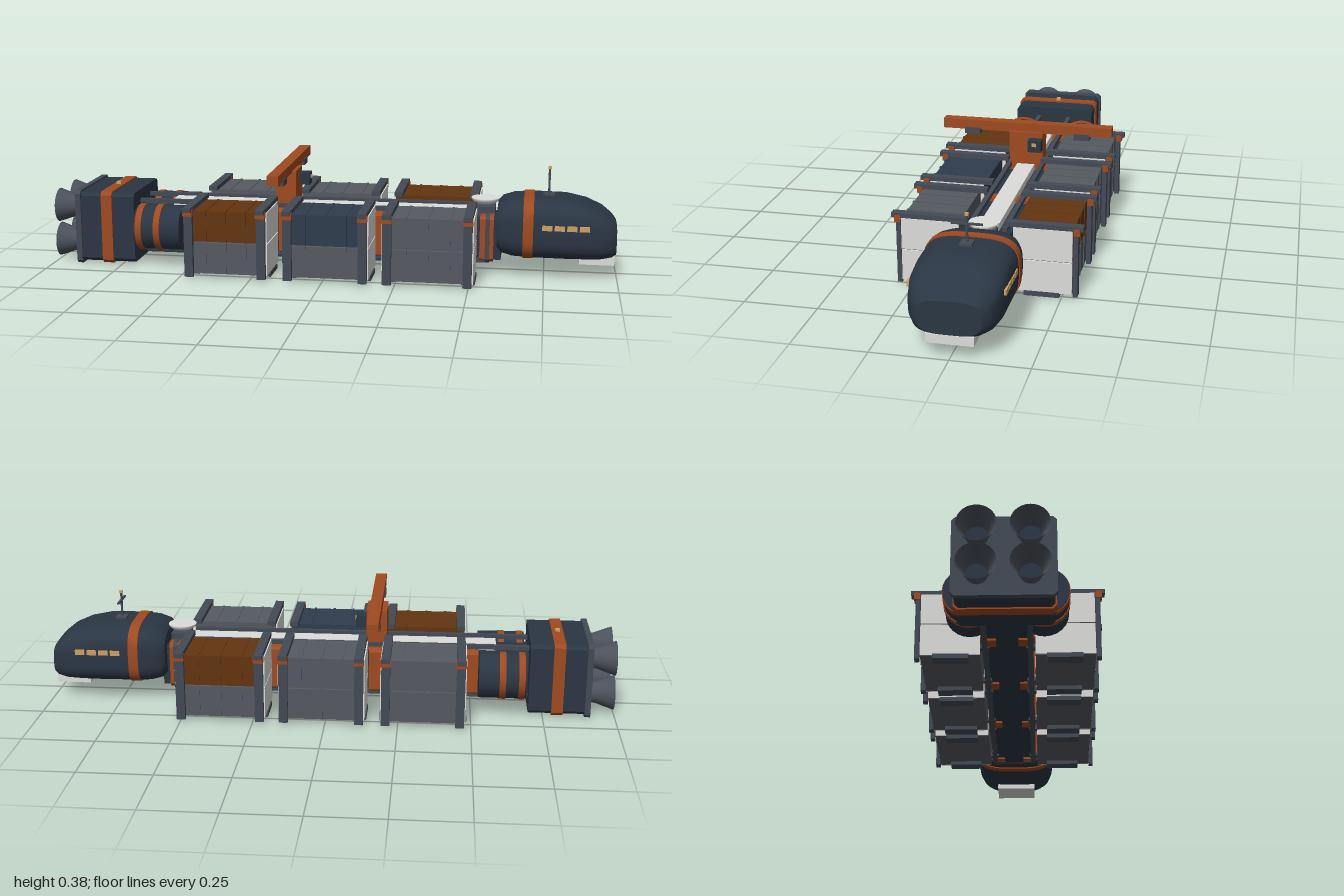
import * as THREE from 'three';

const mat = (name, color, side = THREE.FrontSide) => {
  const m = new THREE.MeshStandardMaterial({ color, side });
  m.name = name;
  return m;
};

export function createModel() {
  const navy = mat('navy hull', 0x2b3644);
  const steel = mat('steel frame', 0x434a55);
  const grey = mat('grey cargo', 0x555a61);
  const blue = mat('blue cargo', 0x303c4e);
  const brown = mat('brown cargo', 0x633510);
  const orange = mat('orange trim', 0xa04a20);
  const white = mat('white panel', 0xdcdcda);
  const amber = mat('amber glass', 0xd0a060);
  const nozzleGrey = mat('nozzle grey', 0x4c525b, THREE.DoubleSide);

  const ship = new THREE.Group();
  ship.name = 'cargoShip';

  const add = (name, geometry, material, x = 0, y = 0, z = 0, parent = ship) => {
    const m = new THREE.Mesh(geometry, material);
    m.name = name;
    m.position.set(x, y, z);
    parent.add(m);
    return m;
  };
  // Box given by its limits on each axis
  const box = (name, material, x0, x1, y0, y1, z0, z1, parent = ship) =>
    add(name, new THREE.BoxGeometry(x1 - x0, y1 - y0, Math.abs(z1 - z0)), material,
      (x0 + x1) / 2, (y0 + y1) / 2, (z0 + z1) / 2, parent);
  // Cylinder lying along x; r0 is the rear radius, r1 the front radius
  const tube = (name, material, x0, x1, r0, r1, y, z, open = false) => {
    const g = new THREE.CylinderGeometry(r1, r0, x1 - x0, 24, 1, open).rotateZ(-Math.PI / 2);
    return add(name, g, material, (x0 + x1) / 2, y, z);
  };
  // Block along x with bevelled corners in its cross-section
  const bevelBlock = (name, material, x0, x1, y0, y1, hz, c) => {
    const s = new THREE.Shape();
    [[-hz + c, y0], [hz - c, y0], [hz, y0 + c], [hz, y1 - c],
      [hz - c, y1], [-hz + c, y1], [-hz, y1 - c], [-hz, y0 + c]]
      .forEach(([a, b], i) => (i ? s.lineTo(a, b) : s.moveTo(a, b)));
    const g = new THREE.ExtrudeGeometry(s, { depth: x1 - x0, bevelEnabled: false }).rotateY(Math.PI / 2);
    return add(name, g, material, x0);
  };

  // Smooth loft through rounded sections [x, half width, bottom, top]
  const loft = (sections, grow = 0) => {
    const n = 48, pos = [], idx = [];
    const ring = ([x, hz, y0, y1]) => {
      const start = pos.length / 3;
      for (let j = 0; j <= n; j++) {
        const t = (j / n) * Math.PI * 2, c = Math.cos(t), s = Math.sin(t);
        const p = (v) => Math.sign(v) * Math.pow(Math.abs(v), 0.6);
        pos.push(x, (y0 + y1) / 2 + ((y1 - y0) / 2 + grow) * p(s), (hz + grow) * p(c));
      }
      return start;
    };
    const rings = sections.map(ring);
    for (let i = 0; i + 1 < rings.length; i++) {
      for (let j = 0; j < n; j++) {
        const a = rings[i] + j, b = rings[i + 1] + j;
        idx.push(a, b, a + 1, b, b + 1, a + 1);
      }
    }
    // End caps with their own vertices
    [sections[0], sections[sections.length - 1]].forEach((s, end) => {
      const r = ring(s), c = pos.length / 3;
      pos.push(s[0], (s[2] + s[3]) / 2, 0);
      for (let j = 0; j < n; j++) idx.push(c, end ? r + j + 1 : r + j, end ? r + j : r + j + 1);
    });
    const g = new THREE.BufferGeometry();
    g.setAttribute('position', new THREE.Float32BufferAttribute(pos, 3));
    g.setIndex(idx);
    g.computeVertexNormals();
    return g;
  };

  // Command module
  add('commandHull', loft([
    [0.585, 0.118, 0.098, 0.245], [0.6, 0.135, 0.08, 0.262], [0.64, 0.149, 0.07, 0.274],
    [0.7, 0.151, 0.067, 0.279], [0.82, 0.151, 0.066, 0.277], [0.89, 0.149, 0.067, 0.262],
    [0.945, 0.138, 0.069, 0.238], [0.98, 0.118, 0.075, 0.21], [0.994, 0.1, 0.083, 0.192],
  ]), navy);
  add('hullBand', loft([[0.675, 0.1505, 0.067, 0.278], [0.71, 0.151, 0.067, 0.279]], 0.003), orange);
  box('chinPlate', white, 0.87, 0.99, 0.05, 0.08, -0.075, 0.075);
  for (const s of [-1, 1])
    for (let i = 0; i < 4; i++)
      box('cabinWindow', amber, 0.74 + i * 0.042, 0.774 + i * 0.042, 0.183, 0.201, s * 0.146, s * 0.154);

  // Antenna mast
  box('antennaBase', steel, 0.74, 0.78, 0.272, 0.285, -0.02, 0.02);
  add('antennaMast', new THREE.CylinderGeometry(0.004, 0.004, 0.095, 10), steel, 0.76, 0.327);
  box('antennaCrossbar', steel, 0.756, 0.764, 0.341, 0.347, -0.05, 0.05);
  box('antennaTip', amber, 0.754, 0.766, 0.371, 0.379, -0.006, 0.006);

  // Spine with rails and collars
  box('spine', navy, -0.7, 0.6, 0.055, 0.2, -0.075, 0.075);
  box('spineKeel', navy, -0.69, 0.5, 0.025, 0.055, -0.035, 0.035);
  box('walkway', white, -0.585, 0.5, 0.2, 0.225, -0.032, 0.032);
  for (const s of [-1, 1]) {
    box('topRail', steel, -0.7, 0.5, 0.215, 0.23, s * 0.052, s * 0.068);
    box('lowerRail', steel, -0.7, 0.55, 0.045, 0.06, s * 0.065, s * 0.083);
  }
  for (const x of [-0.5, -0.163, 0.183, 0.55])
    bevelBlock('spineCollar', orange, x - 0.024, x + 0.024, 0.048, 0.212, 0.088, 0.012);
  bevelBlock('neckRing', steel, 0.545, 0.56, 0.045, 0.215, 0.092, 0.012);
  box('dishMount', steel, 0.51, 0.575, 0.2, 0.235, -0.04, 0.04);
  const dish = add('dish', new THREE.SphereGeometry(0.05, 24, 8, 0, Math.PI * 2, Math.PI / 2, Math.PI / 2),
    white, 0.54, 0.262, 0);
  dish.scale.y = 0.5;
  add('dishFace', new THREE.CircleGeometry(0.05, 24).rotateX(-Math.PI / 2), white, 0.54, 0.262, 0);

  // Fuel tanks beside the neck
  for (const s of [-1, 1]) {
    tube('fuelTank', navy, -0.69, -0.525, 0.08, 0.08, 0.14, s * 0.119);
    for (const x of [-0.673, -0.607])
      tube('tankBand', orange, x - 0.011, x + 0.011, 0.083, 0.083, 0.14, s * 0.119);
  }

  // Engine block and four nozzles
  bevelBlock('engineBlock', navy, -0.9, -0.7, 0.012, 0.263, 0.152, 0.012);
  bevelBlock('engineBackPlate', steel, -0.915, -0.895, 0.003, 0.27, 0.159, 0.012);
  bevelBlock('engineBand', orange, -0.82, -0.78, 0.007, 0.268, 0.157, 0.012);
  box('engineBeacon', amber, -0.808, -0.792, 0.266, 0.277, -0.008, 0.008);
  const bell = [[0.033, 0], [0.039, 0.025], [0.05, 0.055], [0.061, 0.087]].map((p) => new THREE.Vector2(...p));
  for (const y of [0.073, 0.2])
    for (const z of [-0.08, 0.08]) {
      add('nozzle', new THREE.LatheGeometry(bell, 28).rotateZ(Math.PI / 2), nozzleGrey, -0.912, y, z);
      add('nozzleThroat', new THREE.CircleGeometry(0.034, 24).rotateY(-Math.PI / 2), navy, -0.918, y, z);
    }

  // Cargo bays: two stacked containers in a pair of frames, three bays a side
  const cargo = { 1: [brown, blue, grey], '-1': [grey, grey, brown] };
  const container = (name, material, x0, x1, y0, y1, s) => {
    const g = new THREE.Group();
    g.name = name;
    box('containerBody', material, x0, x1, y0, y1, s * 0.09, s * 0.285, g);
    for (const [a, b] of [[x0 - 0.006, x0], [x1, x1 + 0.006]])
      box('containerEnd', white, a, b, y0, y1, s * 0.09, s * 0.285, g);
    for (let i = 1; i < 4; i++) {
      const x = x0 + ((x1 - x0) * i) / 4;
      box('containerRib', material, x - 0.004, x + 0.004, y0 + 0.002, y1 + 0.002, s * 0.092, s * 0.288, g);
    }
    ship.add(g);
  };
  [[-0.475, -0.195], [-0.13, 0.155], [0.212, 0.51]].forEach(([x0, x1], i) => {
    for (const s of [1, -1]) {
      container('lowerContainer', grey, x0, x1, 0.02, 0.129, s);
      container('upperContainer', cargo[s][i], x0, x1, 0.133, 0.24, s);
      for (const x of [x0 + 0.013, x1 - 0.013]) {
        box('framePost', steel, x - 0.015, x + 0.015, 0.01, 0.24, s * 0.287, s * 0.303);
        box('frameTopBar', steel, x - 0.015, x + 0.015, 0.24, 0.256, s * 0.06, s * 0.319);
        box('frameClamp', orange, x - 0.017, x + 0.017, 0.225, 0.249, s * 0.288, s * 0.309);
        box('frameFoot', steel, x - 0.023, x + 0.023, 0.006, 0.022, s * 0.127, s * 0.244);
        box('frameLink', steel, x - 0.012, x + 0.012, 0.045, 0.06, s * 0.06, s * 0.1);
      }
    }
  });

  // Gantry crane
  box('craneTower', orange, -0.2, -0.128, 0.2, 0.345, -0.062, 0.062);
  box('craneBeam', orange, -0.182, -0.142, 0.34, 0.375, -0.312, 0.312);
  box('craneCab', navy, -0.13, -0.092, 0.283, 0.326, -0.062, -0.013);
  box('cabWindow', amber, -0.093, -0.088, 0.305, 0.317, -0.045, -0.029);
  for (const s of [-1, 1])
    box('craneTrolley', steel, -0.185, -0.139, 0.324, 0.347, s * 0.174, s * 0.231);

  return ship;
}
